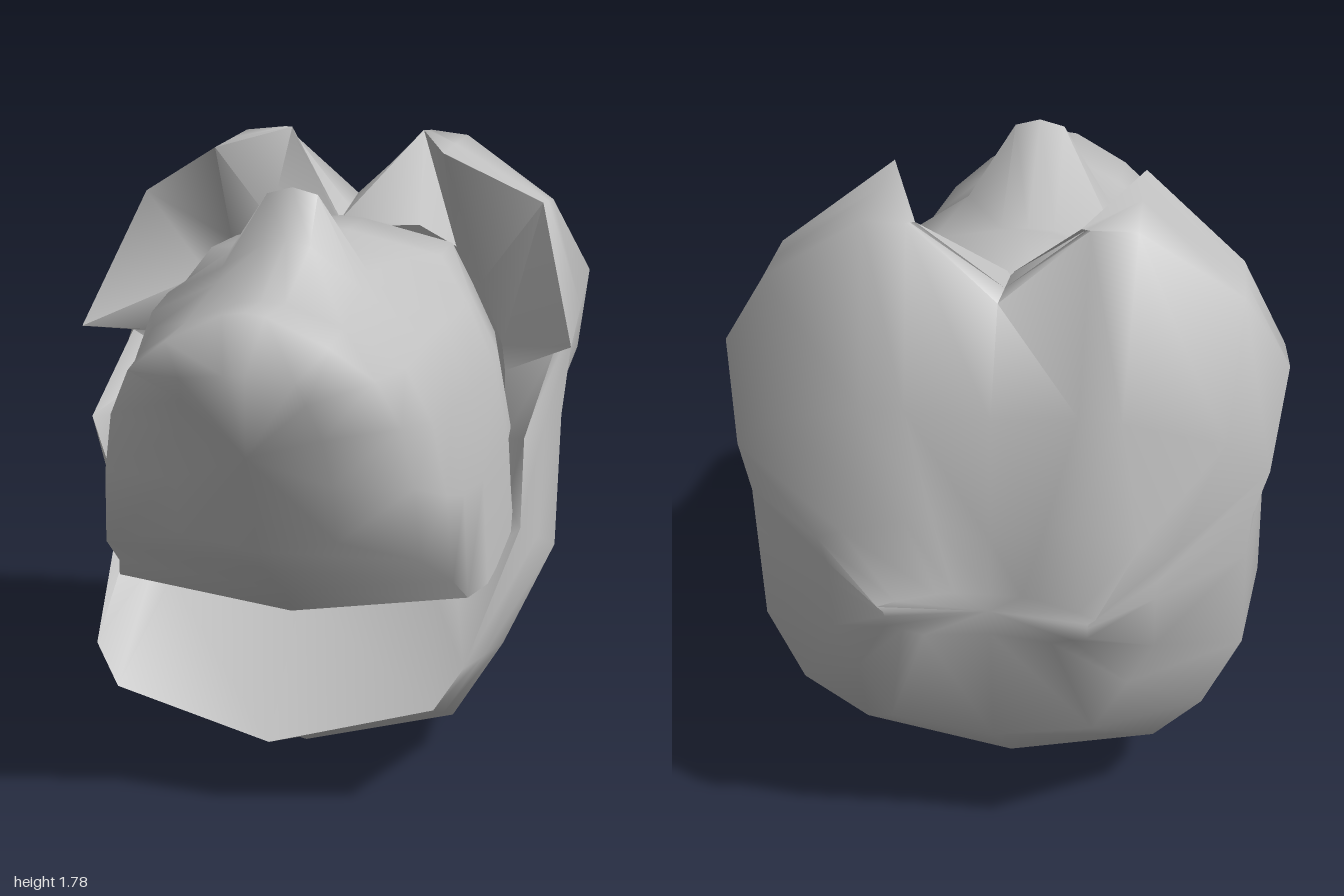
import * as THREE from 'three';
import { toCreasedNormals } from 'three/addons/utils/BufferGeometryUtils.js';

const { lerp, mapLinear, clamp } = THREE.MathUtils;
const CENTRE = 0.015;
const MIDDLE = 0.77; // height of the rearmost point

// Mirror a half section (first and last points on the middle line) into a closed loop.
function mirrorLoop(half) {
  const other = half.slice(1, -1).reverse().map(([x, y, z]) => [-x, y, z]);
  return [...half, ...other];
}

// Skin a list of half sections, optionally closing the ends on a pole.
function skin(halves, poles = {}) {
  const loops = halves.map(mirrorLoop);
  const n = loops[0].length;
  const points = loops.flat();
  const index = [];
  for (let r = 0; r < loops.length - 1; r++) {
    for (let i = 0; i < n; i++) {
      const a = r * n + i, b = r * n + (i + 1) % n;
      index.push(a, a + n, b, b, a + n, b + n);
    }
  }
  const fan = (pole, start, flip) => {
    const p = points.push(pole) - 1;
    for (let i = 0; i < n; i++) {
      const a = start + i, b = start + (i + 1) % n;
      index.push(...(flip ? [p, a, b] : [a, p, b]));
    }
  };
  if (poles.first) fan(poles.first, 0, true);
  if (poles.last) fan(poles.last, (loops.length - 1) * n, false);
  const g = new THREE.BufferGeometry();
  const flat = points.flatMap(([x, y, z]) => [x + CENTRE, y, z]);
  g.setAttribute('position', new THREE.Float32BufferAttribute(flat, 3));
  g.setIndex(index);
  return toCreasedNormals(g, 1.45);
}

// Draw a height towards the middle, by one factor above it and another below.
const squeeze = (y, above, below) => MIDDLE + (y - MIDDLE) * (y > MIDDLE ? above : below);

// Depth of the back: a blunt wedge, slightly hollow along the middle line.
function backDepth(x, y) {
  const rise = clamp((y - MIDDLE) / 0.55, 0, 1);
  let z = mapLinear(y, MIDDLE, 1.32, -1, -0.855);
  if (y < MIDDLE) z = mapLinear(y, 0.33, MIDDLE, -0.87, -1);
  if (y < 0.33) z = mapLinear(y, 0, 0.33, -0.46, -0.87);
  const hollow = Math.max(0, 1 - x / 0.28) * Math.max(0, 1 - Math.abs(y - MIDDLE) / 0.5);
  return z + 0.08 * hollow + 0.71 * Math.max(0, x - lerp(0.28, 0.44, rise));
}

// Half section of the head: crest, brow, cheek and jaw follow one rule.
function headSection([topY, topZ, browY, bottomY, bottomZ, width, browX]) {
  const cheek = (x, drop) => [
    x * width, lerp(browY, bottomY, drop), lerp(topZ, bottomZ, Math.sqrt(drop)),
  ];
  return [
    [0, topY, topZ], [0.13 * width, lerp(topY, browY, 0.08), topZ], [browX * width, browY, topZ - 0.03],
    cheek(0.76, 0.14), cheek(0.9, 0.34), cheek(0.97, 0.6), cheek(1, 0.92),
    [0, bottomY, bottomZ],
  ];
}

export function createModel() {
  const model = new THREE.Group();
  const grey = new THREE.MeshStandardMaterial({ color: 0xc0c0c0, side: THREE.DoubleSide });
  grey.name = 'plain grey';
  const add = (name, geometry) => {
    const mesh = new THREE.Mesh(geometry, grey);
    mesh.name = name;
    model.add(mesh);
  };

  // Jagged front edge of the mane, from the crown around the cheek to the chin.
  const rim = [
    [0, 1.53, -0.4], [0.215, 1.78, -0.68], [0.35, 1.77, -0.2], [0.63, 1.6, -0.41],
    [0.755, 1.22, -0.1], [0.68, 1.15, -0.4], [0.65, 1, 0.15], [0.625, 0.67, -0.04],
    [0.535, 0.42, 0.52], [0.46, 0.31, 0.57], [0, 0.2, 0.63],
  ];
  // Widest section of the mane.
  const girth = [
    [0, 1.57, -0.7], [0.24, 1.78, -0.69], [0.36, 1.77, -0.66], [0.64, 1.58, -0.62],
    [0.765, 1.37, -0.57], [0.72, 1.15, -0.53], [0.71, 0.95, -0.35], [0.71, 0.56, -0.25],
    [0.6, 0.36, 0.12], [0.45, 0.11, 0.1], [0, 0, 0.12],
  ];
  // Halfway section, flat under the chin.
  const between = rim.map((p, i) => p.map((v, k) => lerp(v, girth[i][k], 0.5)));
  between[10] = [0, 0.2, 0.36];
  // The back narrows in three steps onto the rear wedge.
  const step = (width, above, below) => girth.map(([x, y]) => {
    const h = squeeze(y, above, below);
    return [x * width, h, backDepth(x * width, h)];
  });
  const nape = step(0.95, 0.55, 1);
  nape[0] = [0, 1.31, -0.86];
  add('mane', skin(
    [rim, between, girth, nape, step(0.62, 0.26, 0.57), step(0.38, 0.06, 0.1)],
    { last: [0, MIDDLE, -0.92] },
  ));

  // Inner side of the mane and the mouth floor, folding back to the head.
  const inner = [
    [0, 1.51, -0.39], [0.24, 1.51, -0.46], [0.36, 1.45, -0.44], [0.44, 1.34, -0.42],
    [0.52, 1.16, -0.36], [0.53, 1.08, -0.36], [0.56, 0.92, -0.14], [0.57, 0.72, -0.16],
    [0.46, 0.56, 0.15], [0.4, 0.52, 0.18], [0, 0.49, 0.2],
  ];
  add('maneLining', skin([inner, rim]));

  // Head from nose to nape: top y and z, brow y, bottom y and z, half width, brow width.
  const sections = [
    [1.35, 1, 1.33, 0.8, 0.74, 0.22, 0.7],
    [1.49, 0.89, 1.4, 0.74, 0.7, 0.44, 0.5],
    [1.48, 0.68, 1.41, 0.58, 0.42, 0.49, 0.44],
    [1.59, 0.38, 1.46, 0.49, 0.33, 0.52, 0.4],
    [1.73, 0.3, 1.49, 0.49, 0.2, 0.56, 0.38],
    [1.51, -0.02, 1.48, 0.56, -0.03, 0.6, 0.45],
    [1.55, -0.13, 1.47, 0.6, -0.2, 0.59, 0.6],
    [1.54, -0.42, 1.46, 0.65, -0.45, 0.54, 0.64],
  ].map(headSection);
  add('head', skin(sections, { first: [0, 1.1, 0.88], last: [0, 1.1, -0.5] }));

  return model;
}
